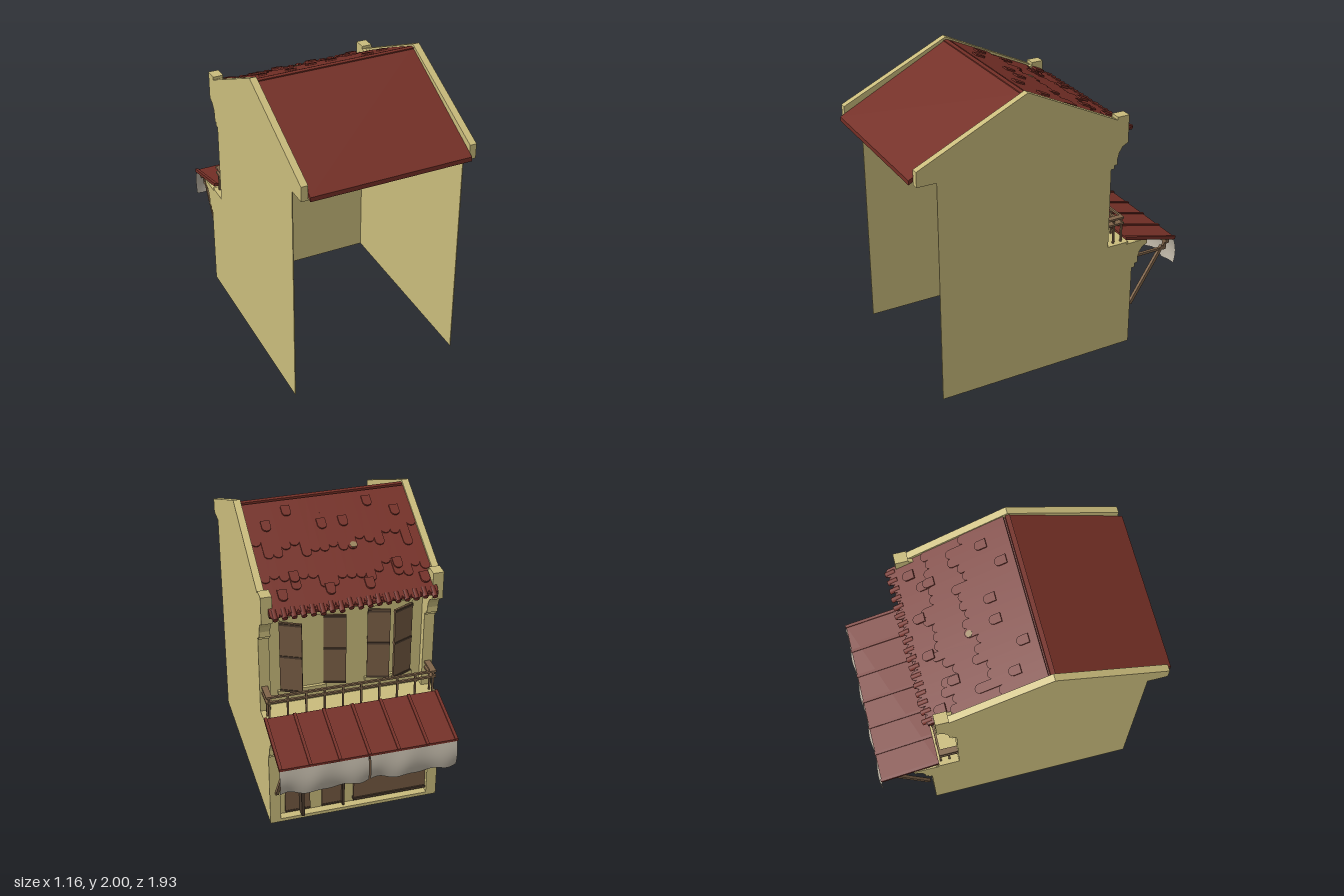
import * as THREE from 'three';

export function createModel() {
  const root = new THREE.Group();
  const mat = (name, color, side = THREE.FrontSide) => {
    const m = new THREE.MeshStandardMaterial({ color, side });
    m.name = name;
    return m;
  };
  const plaster = mat('plaster', 0xcabc7c, THREE.DoubleSide);
  const tile = mat('roofTile', 0x742f26);
  const wood = mat('wood', 0x745a42);
  const beamWood = mat('beamWood', 0x80654a);
  const darkWood = mat('darkWood', 0x4a3a2d);
  const canvas = mat('canvas', 0xb9b1a2, THREE.DoubleSide);
  const brownCloth = mat('brownCloth', 0x7c6047, THREE.DoubleSide);
  const patchMat = mat('bareBoard', 0x9a835c);

  const add = (name, geo, m, parent = root) => {
    const mesh = new THREE.Mesh(geo, m);
    mesh.name = name;
    parent.add(mesh);
    return mesh;
  };
  // box between two corners
  const box = (name, m, x0, x1, y0, y1, z0, z1, parent = root) => add(name,
    new THREE.BoxGeometry(x1 - x0, y1 - y0, z1 - z0)
      .translate((x0 + x1) / 2, (y0 + y1) / 2, (z0 + z1) / 2), m, parent);
  // side profile of [z, y] points, extruded from x0 to x1
  const profile = (name, m, pts, x0, x1) => {
    const s = new THREE.Shape(pts.map(p => new THREE.Vector2(p[0], p[1])));
    const g = new THREE.ExtrudeGeometry(s, { depth: x1 - x0, bevelEnabled: false });
    return add(name, g.rotateY(-Math.PI / 2).translate(x1, 0, 0), m);
  };
  // square bar in a z-y plane at a given x
  const bar = (name, m, x, z0, y0, z1, y1, t) => {
    const mesh = add(name, new THREE.BoxGeometry(t, t, Math.hypot(z1 - z0, y1 - y0)), m);
    mesh.position.set(x, (y0 + y1) / 2, (z0 + z1) / 2);
    mesh.rotation.x = -Math.atan2(y1 - y0, z1 - z0);
    return mesh;
  };
  let seed = 7;
  const rand = () => (seed = (seed * 16807) % 2147483647) / 2147483647;

  // corbelled outlines of the street side
  const upperCorbel = [[-0.445, 1.69], [-0.445, 1.71], [-0.53, 1.71], [-0.53, 1.52], [-0.49, 1.5],
    [-0.465, 1.46], [-0.455, 1.42], [-0.455, 1.38], [-0.435, 1.38], [-0.435, 1.355], [-0.41, 1.355]];
  const lowerCorbel = [[-0.55, 0.79], [-0.55, 0.775], [-0.72, 0.775], [-0.72, 0.74], [-0.685, 0.725],
    [-0.66, 0.69], [-0.65, 0.65], [-0.65, 0.61], [-0.63, 0.61], [-0.63, 0.58], [-0.605, 0.58]];
  const wallOutline = [[0.81, 0], [0.81, 1.55], [0.94, 1.55], [0.94, 1.65], [0.2, 2],
    ...upperCorbel, [-0.41, 0.79], ...lowerCorbel, [-0.605, 0]];
  const parapet = [[0.81, 1.55], [0.94, 1.55], [0.94, 1.65], [0.2, 2],
    ...upperCorbel.slice(0, 4), [-0.445, 1.52], [0.2, 1.86]];

  // side walls with thick gable tops and street piers
  for (const [outer, dir] of [[-0.585, 1], [0.572, -1]]) {
    const span = w => dir > 0 ? [outer, outer + w] : [outer - w, outer];
    profile('sideWall', plaster, wallOutline, ...span(0.006));
    profile('gableParapet', plaster, parapet, ...span(0.045));
    profile('upperPier', plaster, [...upperCorbel, [-0.41, 0.79], [-0.35, 0.79], [-0.35, 1.66]], ...span(0.07));
    profile('lowerPier', plaster, [...lowerCorbel, [-0.605, 0], [-0.54, 0], [-0.54, 0.79]], ...span(0.07));
  }

  // facade walls, balcony slab and doorstep
  box('upperFacade', plaster, -0.58, 0.567, 0.77, 1.66, -0.36, -0.345);
  box('lowerFacade', plaster, -0.58, 0.567, 0, 0.77, -0.555, -0.54);
  box('balconySlab', plaster, -0.58, 0.567, 0.765, 0.79, -0.57, -0.345);
  box('doorStep', plaster, -0.58, 0.567, 0, 0.025, -0.605, -0.55);

  // roof slabs
  const slab = (name, m, z0, y0, z1, y1, t, x0, x1) =>
    profile(name, m, [[z0, y0], [z1, y1], [z1, y1 - t], [z0, y0 - t]], x0, x1);
  const L = -0.54, R = 0.527;
  slab('rearRoof', tile, 0.2, 1.98, 0.97, 1.585, 0.03, L, R);
  slab('streetRoof', tile, 0.2, 1.96, -0.57, 1.6, 0.02, L, R);
  slab('streetSoffit', darkWood, 0.2, 1.939, -0.555, 1.586, 0.015, L, R);
  box('ridgeCap', tile, L, R, 1.94, 1.98, 0.185, 0.215);

  // worn rounded tiles on the street slope, in the slope's own frame
  const slope = new THREE.Group();
  slope.name = 'streetTiles';
  const len = Math.hypot(0.77, 0.36), s = 0.36 / len, c = 0.77 / len;
  slope.applyMatrix4(new THREE.Matrix4().makeBasis(
    new THREE.Vector3(1, 0, 0), new THREE.Vector3(0, -s, -c), new THREE.Vector3(0, c, -s))
    .setPosition(0, 1.96, 0.2));
  root.add(slope);
  const roundTile = (x, w, u0, u1, h, t, m = tile) => {
    const sh = new THREE.Shape();
    sh.moveTo(x - w / 2, u0);
    sh.lineTo(x + w / 2, u0);
    sh.lineTo(x + w / 2, u1 - w / 2);
    sh.absarc(x, u1 - w / 2, w / 2, 0, Math.PI, false);
    const g = new THREE.ExtrudeGeometry(sh, { depth: t, bevelEnabled: false, curveSegments: 8 });
    return add('roofTile', g.translate(0, 0, h), m, slope);
  };
  const cols = 18, cw = (R - L) / cols;
  for (const [u0, lo, hi, h] of [[0.02, 0.34, 0.5, 0.014], [0.3, 0.58, 0.72, 0.006], [0.55, 0.84, 0.885, -0.002]])
    for (let i = 0; i < cols; i++)
      roundTile(L + cw * (i + 0.5), cw, u0, lo + (hi - lo) * rand(), h, 0.01);
  for (const [x, z] of [[-0.48, -0.47], [-0.13, -0.46], [0.12, -0.46], [0.42, -0.46], [-0.34, -0.35], [0.32, -0.35],
    [-0.43, 0.01], [-0.08, -0.02], [0.06, -0.02], [0.41, 0.01], [-0.27, 0.1], [0.26, 0.1]]) {
    const u = (0.2 - z) / c;
    roundTile(x, 0.058, u - 0.04, u + 0.04, z > -0.2 ? 0.02 : 0.012, 0.014);
  }
  add('barePatch', new THREE.CylinderGeometry(0.022, 0.022, 0.006, 10).rotateX(Math.PI / 2)
    .translate(-0.1, 0.43, 0.024), patchMat, slope);
  // barrel ends along the eave
  for (let i = 0; i < cols; i++)
    add('eaveTile', new THREE.CylinderGeometry(0.018, 0.018, 0.07, 8)
      .translate(L + cw * (i + 0.5), 0.835 + rand() * 0.02, -0.004), tile, slope);

  // arched window hoods and shutters
  const shutter = (x, side, angle, w = 0.145) => {
    const g = new THREE.Group();
    g.name = 'shutter';
    g.position.set(x, 0, -0.365);
    g.rotation.y = angle * side;
    const a = Math.min(0, side * w), b = Math.max(0, side * w);
    box('shutterLeaf', wood, a, b, 0.9, 1.42, -0.014, 0, g);
    for (const y of [0.9, 1.16, 1.4]) box('shutterRail', darkWood, a, b, y, y + 0.015, -0.018, 0.004, g);
    root.add(g);
  };
  for (const cx of [-0.295, 0.285]) {
    const sh = new THREE.Shape();
    sh.moveTo(cx - 0.165, 1.48);
    sh.quadraticCurveTo(cx, 1.58, cx + 0.165, 1.48);
    sh.lineTo(cx + 0.135, 1.43);
    sh.quadraticCurveTo(cx, 1.505, cx - 0.135, 1.43);
    const g = new THREE.ExtrudeGeometry(sh, { depth: 0.03, bevelEnabled: false, curveSegments: 10 });
    add('windowHood', g.translate(0, 0, -0.39), plaster);
    box('windowSill', plaster, cx - 0.16, cx + 0.16, 0.875, 0.898, -0.38, -0.355);
  }
  shutter(0.425, -1, -0.43);
  shutter(0.14, 1, -2.87);
  shutter(-0.15, -1, -0.28);
  shutter(-0.44, 1, 0.4);
  root.children.filter(o => o.name === 'shutter').forEach(o => {
    // every leaf swings towards the street
    const tipDir = o.children[0].geometry.boundingBox || (o.children[0].geometry.computeBoundingBox(), o.children[0].geometry.boundingBox);
    const sx = tipDir.min.x < -0.01 ? -1 : 1;
    o.rotation.y = sx * Math.abs(o.rotation.y);
  });

  // balcony railing
  for (const y of [0.94, 0.98]) {
    box('handrail', beamWood, -0.57, 0.56, y - 0.014, y, -0.535, -0.521);
    for (const x of [-0.55, 0.54]) box('sideRail', beamWood, x - 0.02, x + 0.02, y - 0.014, y, -0.535, -0.34);
  }
  for (let i = 0; i <= 9; i++) {
    const x = -0.55 + i * 1.09 / 9;
    box('railPost', beamWood, x - 0.006, x + 0.006, 0.79, 0.97, -0.534, -0.522);
  }
  for (const x of [-0.55, 0.54]) box('railPost', beamWood, x - 0.006, x + 0.006, 0.79, 0.97, -0.475, -0.463);

  // entrance: board above, two flat leaves and two folded leaves
  box('doorBoard', wood, 0.05, 0.49, 0.57, 0.66, -0.58, -0.55);
  box('doorBoardTrim', darkWood, 0.05, 0.49, 0.56, 0.575, -0.585, -0.55);
  for (const [x0, x1] of [[0.29, 0.46], [0.07, 0.21]]) {
    box('doorLeaf', wood, x0, x1, 0.04, 0.545, -0.568, -0.55);
    for (const y of [0.04, 0.28, 0.53]) box('doorRail', darkWood, x0, x1, y, y + 0.014, -0.571, -0.56);
  }
  box('foldedLeaf', darkWood, 0.345, 0.365, 0.04, 0.545, -0.635, -0.555);
  box('foldedLeaf', darkWood, 0.06, 0.075, 0.04, 0.545, -0.6, -0.555);

  // shop counter panel
  box('shopPanel', wood, -0.515, -0.01, 0.05, 0.4, -0.575, -0.55);
  for (const y of [0.05, 0.385]) box('shopPanelRail', darkWood, -0.52, -0.005, y, y + 0.018, -0.585, -0.55);

  // awning with raised seams
  slab('awning', tile, -0.545, 0.828, -0.945, 0.728, 0.016, -0.58, 0.58);
  for (let i = 0; i < 7; i++) {
    const x = -0.57 + i * 0.19;
    slab('awningSeam', tile, -0.545, 0.836, -0.95, 0.735, 0.012, x - 0.01, x + 0.01);
  }

  // brackets, beams and laundry pole
  for (const x of [-0.53, 0.53]) {
    bar('awningStrut', beamWood, x, -0.63, 0.27, -0.875, 0.66, 0.022);
    bar('awningBeam', beamWood, x, -0.53, 0.64, -0.885, 0.64, 0.018);
    bar('awningPost', beamWood, x, -0.89, 0.63, -0.9, 0.725, 0.022);
  }
  box('awningFrontBeam', beamWood, -0.56, 0.56, 0.685, 0.715, -0.91, -0.885);
  for (const x of [-0.42, -0.15, -0.055, 0.05]) bar('wallBeam', beamWood, x, -0.53, 0.64, -0.72, 0.64, 0.018);
  box('laundryPole', beamWood, -0.45, 0.07, 0.625, 0.637, -0.69, -0.678);

  // hanging cloths, rippled by moving a plane's vertices
  const cloth = (name, m, x0, x1, yTop, drop, z, sag, bulge, waves) => {
    const g = new THREE.PlaneGeometry(x1 - x0, 1, 24, 8);
    const p = g.attributes.position;
    for (let i = 0; i < p.count; i++) {
      const t = p.getX(i) / (x1 - x0) + 0.5, v = 0.5 - p.getY(i);
      const arch = Math.sin(Math.PI * t);
      p.setXYZ(i, x0 + t * (x1 - x0),
        yTop - v * (drop + sag * arch + 0.008 * Math.sin(t * 19)),
        z - bulge * Math.sin(Math.PI * v * 0.85) - 0.012 * v * Math.sin(t * Math.PI * 2 * waves));
    }
    g.computeVertexNormals();
    add(name, g, m);
  };
  cloth('valanceLeft', canvas, 0.005, 0.578, 0.72, 0.19, -0.935, 0.015, 0.022, 2);
  cloth('valanceRight', canvas, -0.578, -0.005, 0.72, 0.19, -0.935, 0.015, 0.022, 2);
  cloth('brownLaundry', brownCloth, -0.37, -0.1, 0.64, 0.23, -0.684, 0.03, 0.01, 2);
  cloth('paleLaundry', canvas, -0.41, -0.06, 0.63, 0.13, -0.665, 0.01, 0.005, 2);

  return root;
}
